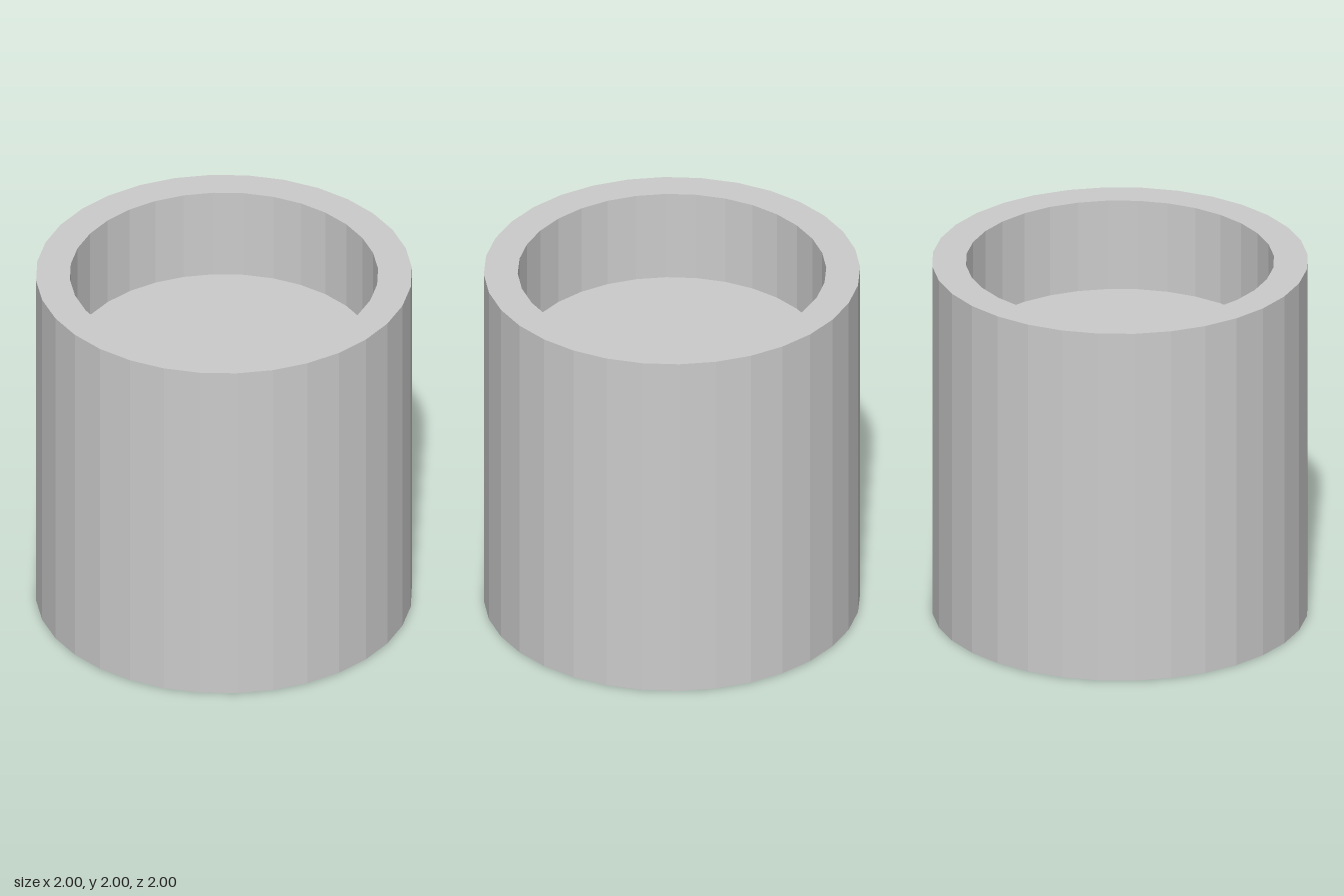
import * as THREE from 'three';

const SIDES = 32;
const OUTER = 1, INNER = 0.82, HEIGHT = 2, FLOOR = 1.49;

export function createModel() {
  const group = new THREE.Group();
  group.name = 'cup';

  // Closed profile: underside, outer wall, rim, inner wall, recess floor
  const profile = [
    [0, 0], [OUTER, 0], [OUTER, HEIGHT],
    [INNER, HEIGHT], [INNER, FLOOR], [0, FLOOR],
  ].map(([r, y]) => new THREE.Vector2(r, y));

  const body = new THREE.Mesh(
    new THREE.LatheGeometry(profile, SIDES),
    new THREE.MeshStandardMaterial({ color: 0xcccccc, flatShading: true })
  );
  body.name = 'recessedCylinder';
  group.add(body);

  return group;
}
